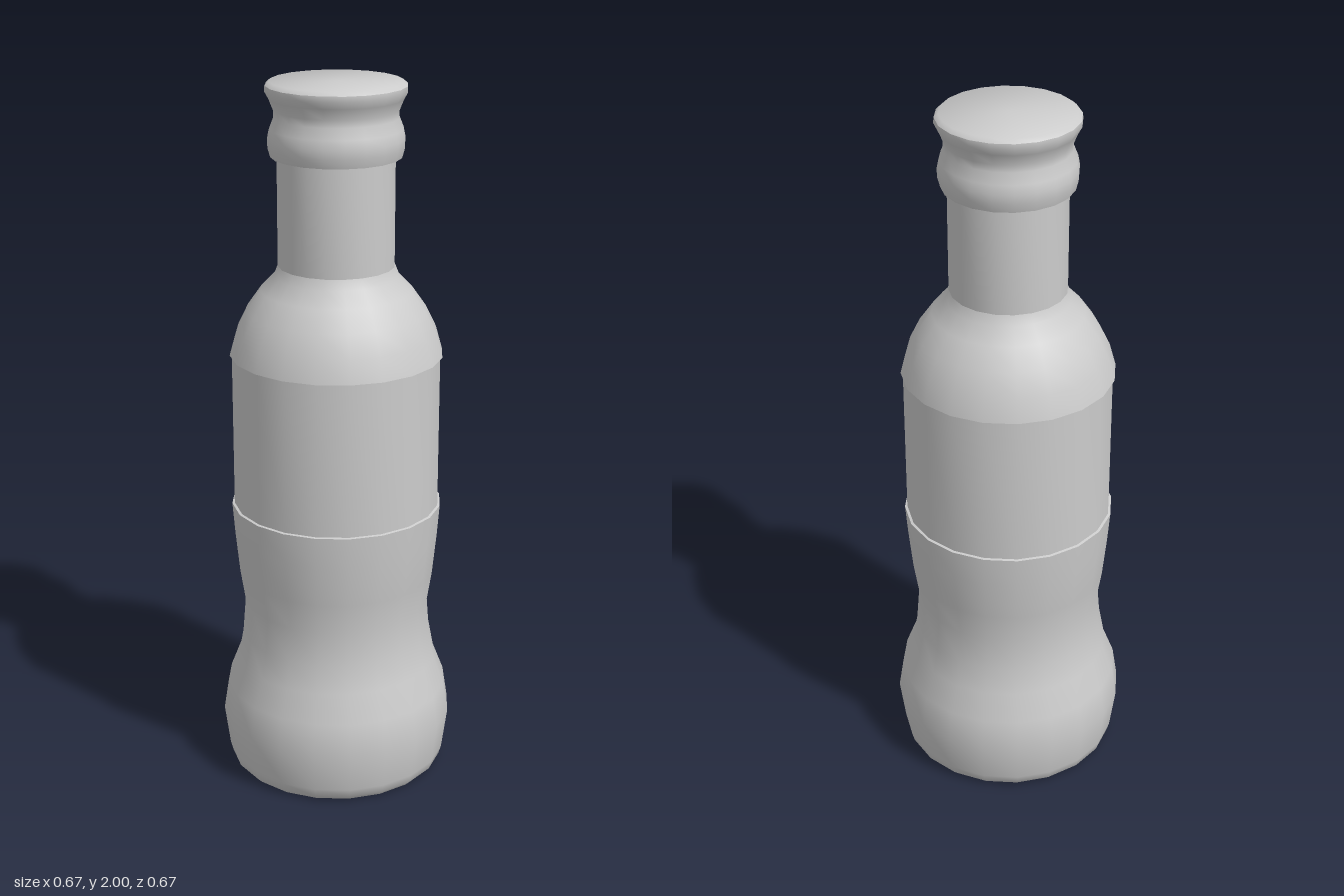
import * as THREE from 'three';
import { toCreasedNormals } from 'three/addons/utils/BufferGeometryUtils.js';

const SIDES = 20;

// Revolve a bottom-to-top [radius, height] profile, keeping hard rims sharp
function turned(name, profile, material) {
  const points = profile.map(([r, y]) => new THREE.Vector2(r, y));
  const geometry = toCreasedNormals(new THREE.LatheGeometry(points, SIDES), 0.75);
  const mesh = new THREE.Mesh(geometry, material);
  mesh.name = name;
  return mesh;
}

export function createModel() {
  const bottle = new THREE.Group();
  bottle.name = 'bottle';
  const grey = new THREE.MeshStandardMaterial({ color: 0xcccccc });

  // Waisted lower body with closed base and a small ledge under the label
  bottle.add(turned('lowerBody', [
    [0, 0], [0.295, 0], [0.31, 0.015], [0.317, 0.04], [0.333, 0.16],
    [0.319, 0.25], [0.288, 0.33], [0.273, 0.41], [0.265, 0.51],
    [0.279, 0.6], [0.291, 0.72], [0.298, 0.81], [0.29, 0.812],
  ], grey));

  // Straight label band
  bottle.add(turned('labelBand', [[0.291, 0.81], [0.291, 1.25]], grey));

  // Domed shoulder overhanging the label
  bottle.add(turned('shoulder', [
    [0.29, 1.248], [0.297, 1.25], [0.279, 1.315], [0.25, 1.375],
    [0.21, 1.432], [0.172, 1.472], [0.161, 1.5],
  ], grey));

  // Neck
  bottle.add(turned('neck', [[0.161, 1.5], [0.161, 1.81]], grey));

  // Cap with a rounded collar, a pinched middle and a flared flat top
  bottle.add(turned('cap', [
    [0.16, 1.8], [0.178, 1.8], [0.185, 1.825], [0.186, 1.85], [0.181, 1.875],
    [0.169, 1.905], [0.169, 1.925], [0.181, 1.955], [0.192, 1.975],
    [0.191, 1.99], [0.18, 2], [0, 2],
  ], grey));

  return bottle;
}
